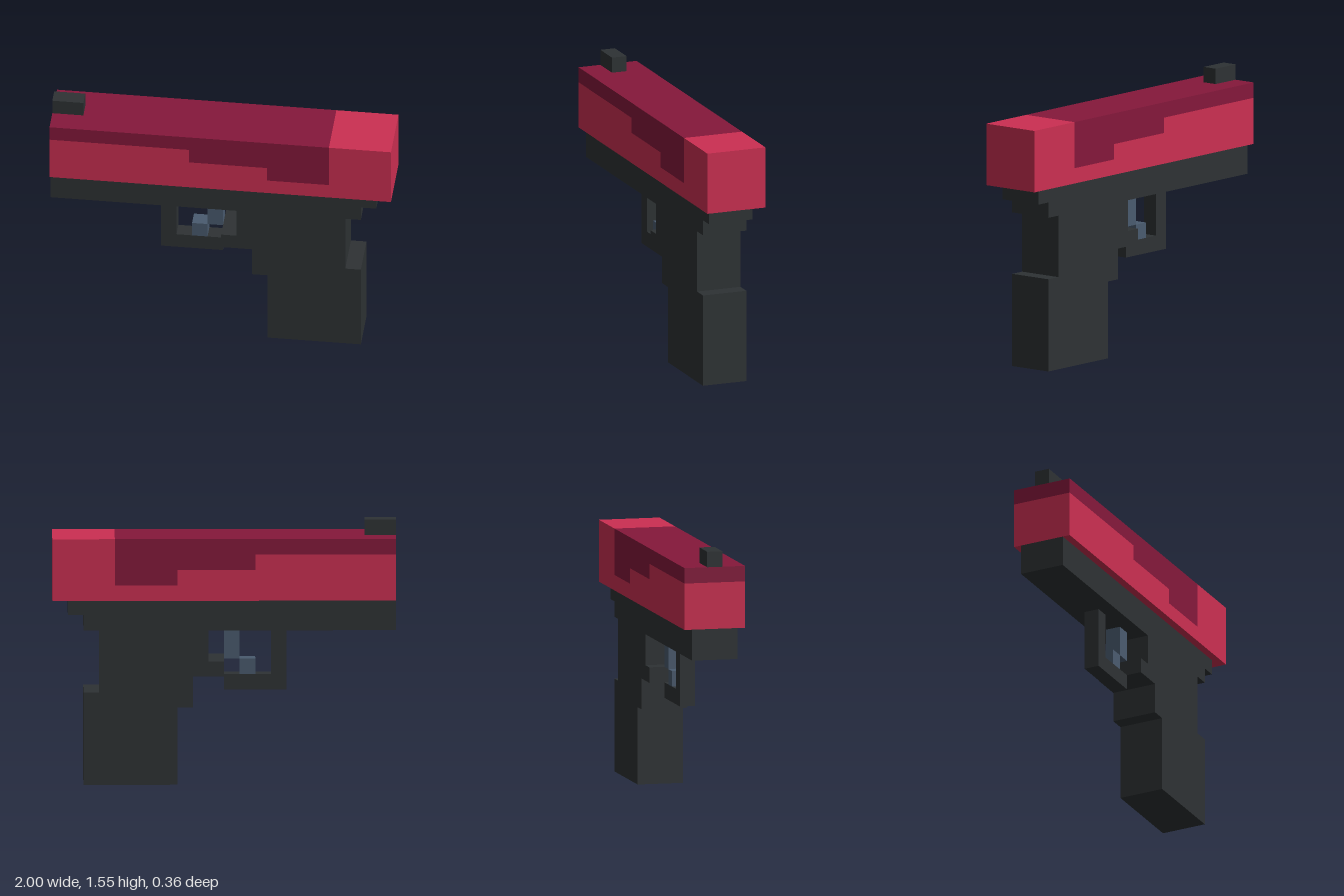
import * as THREE from 'three';

// All sizes are in blocks; one block is 1/11 of a unit.
const U = 1 / 11;

const material = (color) => new THREE.MeshStandardMaterial({ color, flatShading: true });

// Side outline extruded to a given width, centred on z = 0.
function slab(name, outline, width, mat) {
  const shape = new THREE.Shape(outline.map(([x, y]) => new THREE.Vector2(x * U, y * U)));
  const geometry = new THREE.ExtrudeGeometry(shape, { depth: width * U, bevelEnabled: false });
  geometry.translate(0, 0, -width * U / 2);
  const mesh = new THREE.Mesh(geometry, mat);
  mesh.name = name;
  return mesh;
}

// Box given by its x and y ranges and its width.
function block(name, x0, x1, y0, y1, width, mat) {
  const mesh = new THREE.Mesh(new THREE.BoxGeometry((x1 - x0) * U, (y1 - y0) * U, width * U), mat);
  mesh.position.set((x0 + x1) / 2 * U, (y0 + y1) / 2 * U, 0);
  mesh.name = name;
  return mesh;
}

export function createModel() {
  const model = new THREE.Group();
  model.name = 'blockPistol';
  const red = material(0xcc2f52);
  const darkRed = material(0x85183b);
  const black = material(0x2e3234);
  const steel = material(0x4a5b6f);

  // Slide: red lower part and rear, with a stepped dark top panel
  model.add(
    slab('slide', [[-11, 12], [11, 12], [11, 16], [7, 16], [7, 13], [3, 13],
      [3, 14], [-2, 14], [-2, 15], [-11, 15]], 4, red),
    slab('slideTopPanel', [[-11, 15], [-2, 15], [-2, 14], [3, 14], [3, 13],
      [7, 13], [7, 16], [-11, 16]], 4, darkRed),
    block('frontSight', -11, -9, 16, 17, 1, black),
  );

  // Frame and grip in one stepped outline
  model.add(slab('frameAndGrip', [[-11, 10], [1, 10], [1, 8], [0, 8], [0, 7], [2, 7],
    [2, 5], [3, 5], [3, 0], [9, 0], [9, 6], [8, 6], [8, 10], [9, 10], [9, 11],
    [10, 11], [10, 12], [-11, 12]], 3, black));

  // Narrow trigger guard
  model.add(slab('triggerGuard', [[-4, 6], [0, 6], [0, 7], [-3, 7], [-3, 10], [-4, 10]], 1, black));

  // Trigger stepping forward at its tip
  const trigger = new THREE.Group();
  trigger.name = 'trigger';
  trigger.add(
    block('triggerStem', -1, 0, 8, 10, 1, steel),
    block('triggerTip', -2, -1, 7, 8, 1, steel),
  );
  model.add(trigger);
  return model;
}
